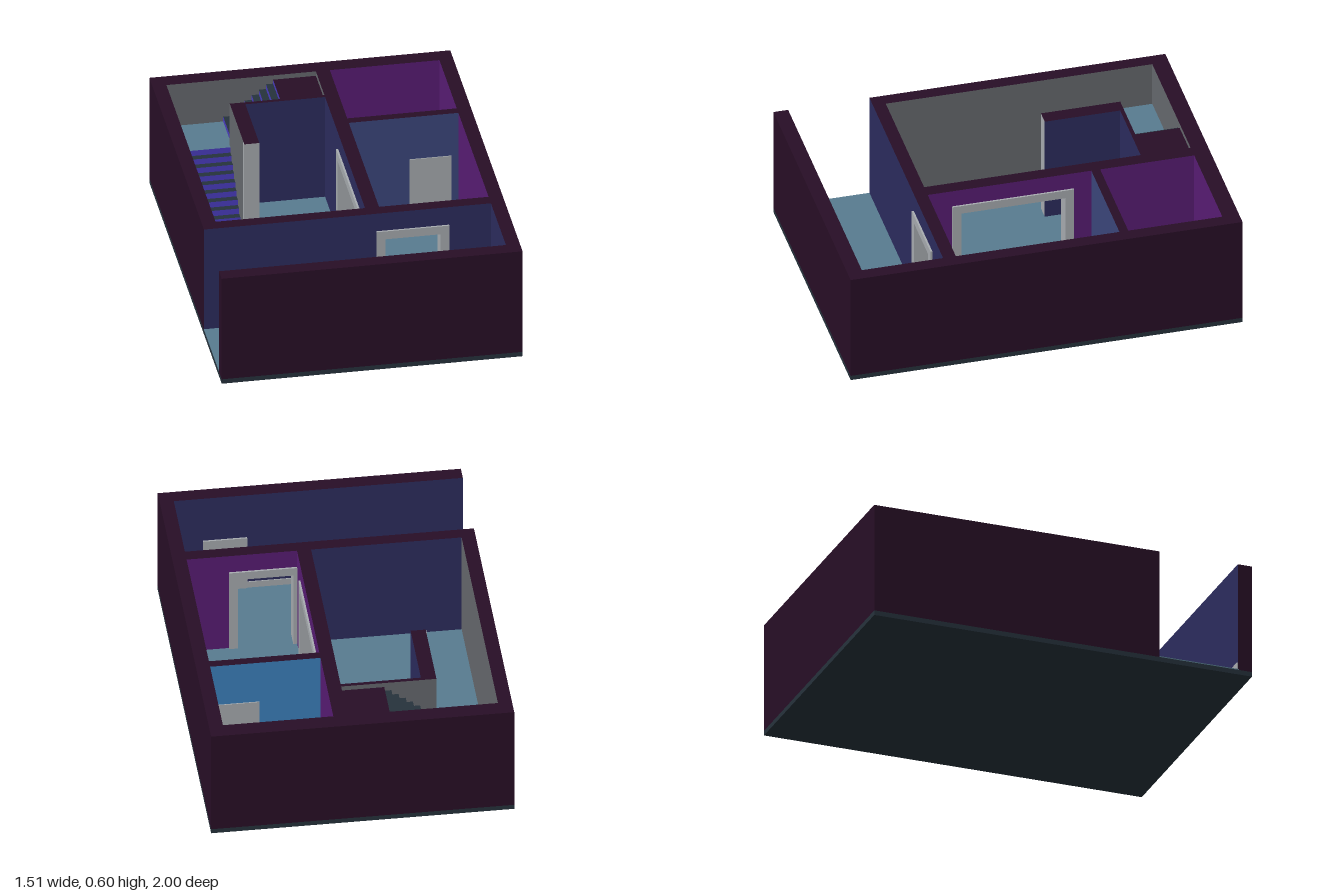
import * as THREE from 'three';

const mat = (name, color) => {
  const m = new THREE.MeshStandardMaterial({ color });
  m.name = name;
  return m;
};

export function createModel() {
  const model = new THREE.Group();
  model.name = 'floorPlan';

  const maroon = mat('maroonWall', 0x280e26);
  const slate = mat('darkSlate', 0x26323c);
  const floorBlue = mat('floorBlue', 0x587c90);
  const navy = mat('navyPaint', 0x2c2c5e);
  const purple = mat('purplePaint', 0x581c74);
  const blue = mat('bluePaint', 0x3c80bc);
  const dusk = mat('duskBluePaint', 0x3b467c);
  const gray = mat('grayPaint', 0x66696e);
  const trim = mat('lightTrim', 0xa8acb0);
  const riser = mat('violetRiser', 0x4a3cc0);

  const BASE = 0.025, FLOOR = 0.03, TOP = 0.6;

  // Box between two corners; faces overrides the base material per side
  const block = (parent, name, [x0, x1], [y0, y1], [z0, z1], base, faces = {}) => {
    const geo = new THREE.BoxGeometry(x1 - x0, y1 - y0, z1 - z0);
    const mats = ['px', 'nx', 'py', 'ny', 'pz', 'nz'].map((k) => faces[k] || base);
    const mesh = new THREE.Mesh(geo, Object.keys(faces).length ? mats : base);
    mesh.position.set((x0 + x1) / 2, (y0 + y1) / 2, (z0 + z1) / 2);
    mesh.name = name;
    parent.add(mesh);
    return mesh;
  };
  const group = (name) => {
    const g = new THREE.Group();
    g.name = name;
    model.add(g);
    return g;
  };

  // Base slab and floors
  block(model, 'baseSlab', [-0.755, 0.755], [0, BASE], [-1, 1], slate);
  block(model, 'roomFloor', [-0.7, 0.7], [BASE, FLOOR], [-0.93, 0.51], floorBlue);
  block(model, 'corridorFloor', [-0.755, 0.7], [BASE, FLOOR], [0.51, 0.93], floorBlue);

  // Walls: maroon outside and on top, painted inside
  const walls = group('walls');
  const wall = (name, x, z, faces, y0 = BASE) =>
    block(walls, name, x, [y0, TOP], z, maroon, faces);

  wall('backWallLeft', [-0.755, 0.1], [-1, -0.915], { pz: gray });
  wall('backWallRight', [0.1, 0.755], [-1, -0.915], { pz: purple });
  wall('leftWall', [-0.755, -0.685], [-0.915, 0.445], { px: gray });
  wall('rightWallRooms', [0.685, 0.755], [-0.915, 0.48], { nx: purple });
  wall('rightWallCorridor', [0.685, 0.755], [0.48, 0.925], { nx: navy });
  wall('frontWall', [-0.755, 0.755], [0.925, 1], { nz: navy });

  // Corridor wall with a doorway
  const cz = [0.445, 0.51];
  wall('corridorWallLeft', [-0.755, 0.1], cz, { pz: navy, nz: navy });
  wall('corridorWallMiddle', [0.1, 0.15], cz, { pz: navy, nz: purple });
  wall('corridorLintel', [0.15, 0.435], cz, { pz: navy, nz: purple }, 0.46);
  wall('corridorWallRight', [0.435, 0.685], cz, { pz: navy, nz: purple });

  // Dividing wall with a wide doorway
  const dx = [0.065, 0.135];
  wall('dividerBack', dx, [-0.915, -0.67], { px: purple, nx: gray });
  wall('dividerMiddle', dx, [-0.67, -0.26], { px: purple, nx: navy });
  wall('dividerLintel', dx, [-0.26, 0.28], { px: purple, nx: navy }, 0.47);
  wall('dividerFront', dx, [0.28, 0.445], { px: purple, nx: navy });

  // Wall between the two right-hand rooms
  wall('smallRoomWall', [0.135, 0.685], [-0.435, -0.39], { pz: dusk, nz: blue });

  // Walls around the stairs
  wall('stairWall', [-0.41, -0.335], [-0.68, -0.275], { px: navy, nx: gray, pz: trim, nz: gray });
  wall('stairBackWall', [-0.335, 0.065], [-0.68, -0.66], { pz: navy, nz: gray });

  // Door frames
  const corridorFrame = group('corridorDoorFrame');
  const fz = [0.435, 0.52];
  for (const x of [[0.11, 0.155], [0.43, 0.475]])
    block(corridorFrame, 'doorJamb', x, [FLOOR, 0.5], fz, trim);
  block(corridorFrame, 'doorHead', [0.155, 0.43], [0.455, 0.5], fz, trim);

  const dividerFrame = group('dividerDoorFrame');
  const fx = [0.055, 0.145];
  for (const z of [[-0.3, -0.255], [0.275, 0.32]])
    block(dividerFrame, 'doorJamb', fx, [FLOOR, 0.51], z, trim);
  block(dividerFrame, 'doorHead', fx, [0.465, 0.51], [-0.255, 0.275], trim);

  // Low door panels, skirting and stair wall edge
  for (const z of [[-0.44, -0.435], [-0.39, -0.385]])
    block(model, 'smallRoomDoor', [0.44, 0.65], [FLOOR, 0.36], z, trim);
  block(model, 'frontDoorPanel', [0.32, 0.54], [FLOOR, 0.34], [0.916, 0.925], trim);
  block(model, 'skirting', [-0.755, 0.685], [FLOOR, 0.065], [0.92, 0.925], trim);
  block(model, 'stairWallEdge', [-0.413, -0.41], [FLOOR, 0.598], [-0.3, -0.275], trim);

  // Stairs: lower flight climbs to the back, upper flight turns to the right
  const stairs = group('stairs');
  const rise = 0.0302, run = 0.0345;
  for (let i = 0; i < 10; i++) {
    const z = -0.315 - i * run;
    block(stairs, 'lowerStep', [-0.685, -0.41], [FLOOR, FLOOR + (i + 1) * rise],
      [z - run, z], slate, { pz: riser });
  }
  const landing = FLOOR + 11 * rise;
  block(stairs, 'landing', [-0.685, -0.4], [FLOOR, landing], [-0.915, -0.66], slate,
    { py: floorBlue, pz: riser });
  const run2 = 0.25 / 7;
  for (let i = 0; i < 7; i++) {
    const x = -0.4 + i * run2;
    block(stairs, 'upperStep', [x, x + run2], [FLOOR, landing + (i + 1) * rise * 0.9],
      [-0.915, -0.68], slate, { nx: riser });
  }
  block(stairs, 'topLanding', [-0.15, 0.065], [FLOOR, 0.575], [-0.915, -0.68], maroon, { nx: riser });

  return model;
}
